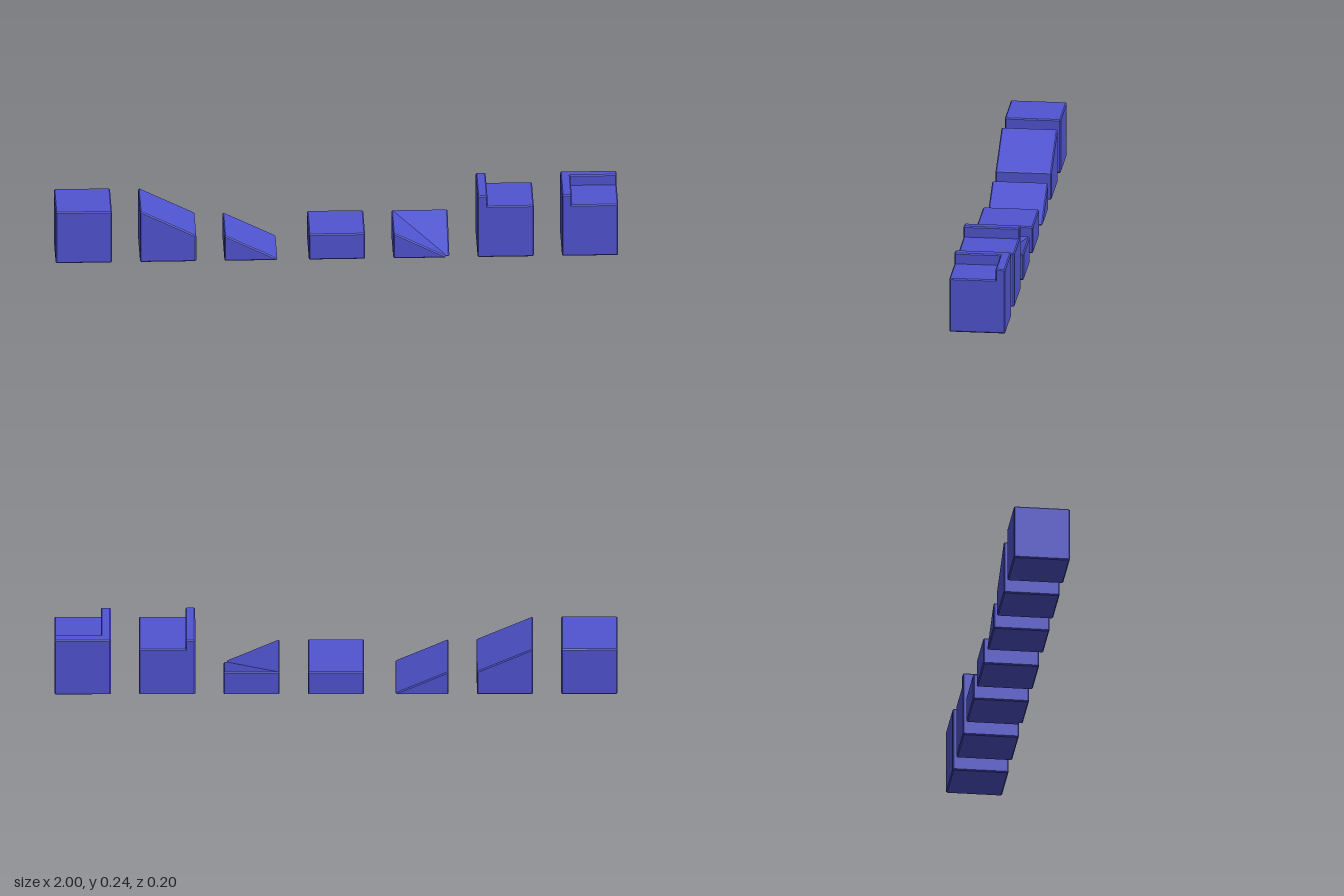
import * as THREE from 'three';
import { ConvexGeometry } from 'three/addons/geometries/ConvexGeometry.js';

const B = 0.004;        // width of the chamfer on every edge
const E = 0.1 - B;      // half width of a block's inner core
const T = 0.1 - 4 * B;  // where a slope's core runs out at the floor
const material = new THREE.MeshStandardMaterial({ color: 0x5054d0, flatShading: true });

// Convex solid with chamfered edges: each core corner is spread by B along every axis
function chamfered(name, core) {
  const points = [];
  for (const [x, y, z] of core) {
    for (const s of [-B, B]) {
      points.push(
        new THREE.Vector3(x + s, y, z),
        new THREE.Vector3(x, y + s, z),
        new THREE.Vector3(x, y, z + s)
      );
    }
  }
  const mesh = new THREE.Mesh(new ConvexGeometry(points), material);
  mesh.name = name;
  return mesh;
}

// Profile of core points [x, y] carried across the block's depth
function prism(name, profile) {
  return chamfered(name, profile.flatMap(([x, y]) => [[x, y, -E], [x, y, E]]));
}

// Box standing on the floor, given its outer extents
function box(name, height, x0 = -0.1, x1 = 0.1, z0 = -0.1, z1 = 0.1) {
  const core = [];
  for (const x of [x0 + B, x1 - B])
    for (const y of [B, height - B])
      for (const z of [z0 + B, z1 - B]) core.push([x, y, z]);
  return chamfered(name, core);
}

export function createModel() {
  const model = new THREE.Group();
  model.name = 'terrainBlocks';
  const high = 0.1 - 1.5 * B; // core height at the top of a slope
  const lip = -0.065;         // inner face of the raised lips

  const blocks = {
    fullBlock: [box('cube', 0.2)],
    upperSlopeBlock: [prism('upperSlope', [[-E, B], [E, B], [E, 0.1 - B / 2], [-E, 0.1 + high]])],
    lowerSlopeBlock: [prism('lowerSlope', [[-E, B], [T, B], [-E, high]])],
    halfBlock: [box('slab', 0.1)],
    // Two slopes meeting in a diagonal valley that falls to the front corner
    innerCornerSlopeBlock: [
      chamfered('sideSlope', [
        [-E, B, -E], [-E, B, E], [T, B, E], [T, B, T], [-E, high, -E], [-E, high, E]
      ]),
      chamfered('backSlope', [
        [-E, B, -E], [E, B, -E], [E, B, T], [T, B, T], [-E, high, -E], [E, high, -E]
      ])
    ],
    edgeLipBlock: [box('body', 0.2), box('sideLip', 0.24, -0.1, lip)],
    cornerLipBlock: [
      box('body', 0.2),
      box('sideLip', 0.24, -0.1, lip),
      box('backLip', 0.24, -0.1, 0.1, -0.1, lip)
    ]
  };

  // Set the blocks out in a row
  Object.entries(blocks).forEach(([name, parts], i) => {
    const block = new THREE.Group();
    block.name = name;
    block.add(...parts);
    block.position.x = -0.9 + i * 0.3;
    model.add(block);
  });
  return model;
}
